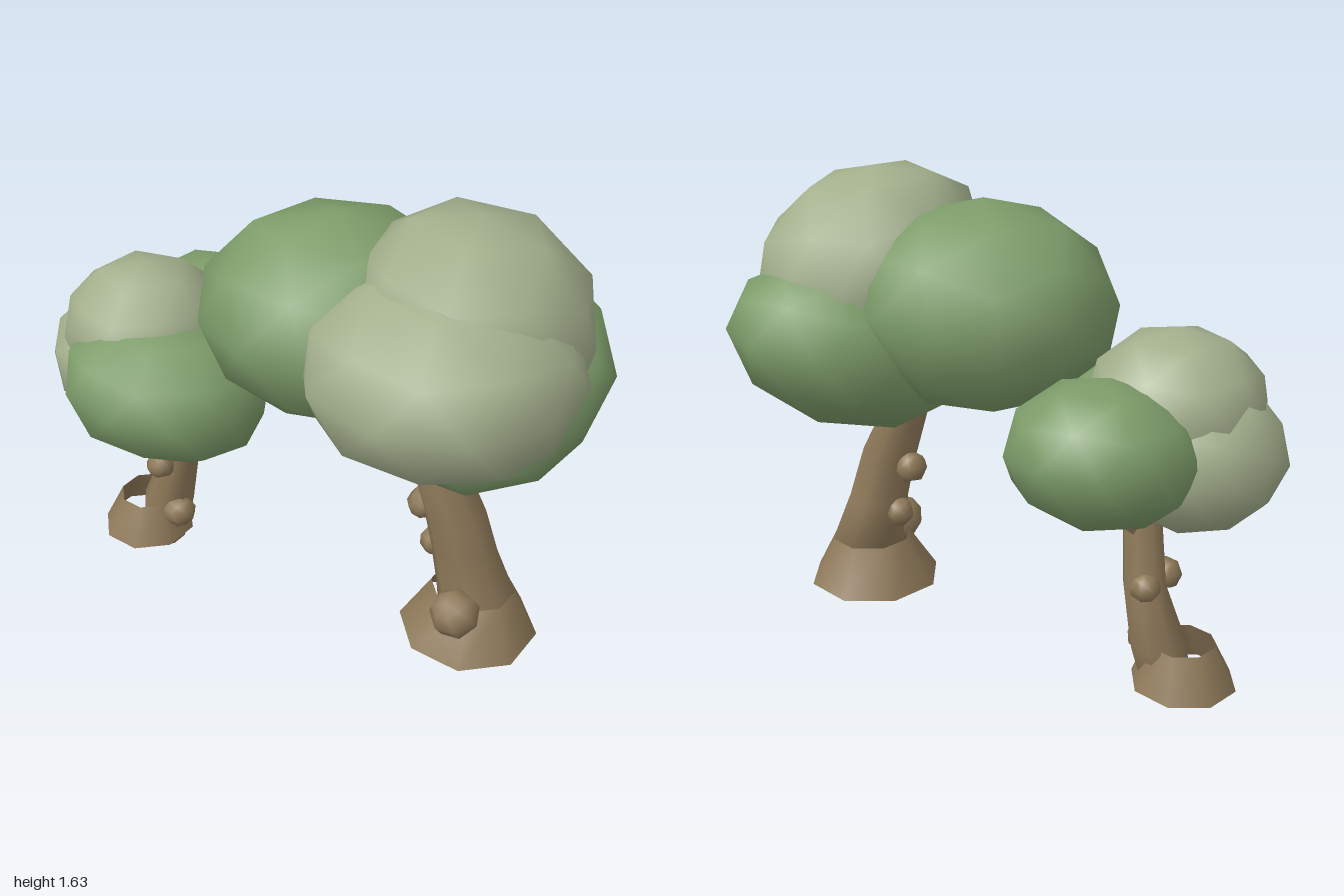
import * as THREE from 'three';
import { mergeVertices } from 'three/addons/utils/BufferGeometryUtils.js';

const mat = (name, color, side = THREE.FrontSide) => {
  const m = new THREE.MeshStandardMaterial({ color, side });
  m.name = name;
  return m;
};

// Weld seams so that shading runs smoothly all the way round
function smooth(geo) {
  geo.deleteAttribute('uv');
  geo.deleteAttribute('normal');
  const welded = mergeVertices(geo, 1e-4);
  welded.computeVertexNormals();
  return welded;
}

export function createModel() {
  const bark = mat('bark brown', 0x8e7959, THREE.DoubleSide);
  const dark = mat('leaf green', 0x7d9c69);
  const light = mat('pale leaf green', 0xa3af8c);

  // Low-poly clump filling x, y and z ranges; lean tilts it along x and z,
  // power above 2 makes it boxier, pitch tips its pole from y towards z
  function clump(parent, name, material, ranges, { lean = [0, 0], power = 2, turn = 0, pitch = 0 }) {
    const geo = new THREE.IcosahedronGeometry(1, 1);
    geo.rotateZ(0.5536).rotateY(turn).rotateX(pitch);
    const p = geo.attributes.position;
    const v = new THREE.Vector3();
    for (let i = 0; i < p.count; i++) {
      v.fromBufferAttribute(p, i);
      const sum = Math.abs(v.x) ** power + Math.abs(v.y) ** power + Math.abs(v.z) ** power;
      v.multiplyScalar(sum ** (-1 / power));
      p.setXYZ(i, v.x, v.y + lean[0] * v.x + lean[1] * v.z, v.z);
    }
    geo.center();
    geo.boundingBox.getSize(v);
    const [sx, sy, sz] = ranges.map(([a, b]) => b - a);
    geo.scale(sx / v.x, sy / v.y, sz / v.z);
    const mesh = new THREE.Mesh(smooth(geo), material);
    mesh.name = name;
    mesh.position.set(...ranges.map(([a, b]) => (a + b) / 2));
    parent.add(mesh);
  }

  // Bent limb: cylinder rows moved to rings [x, y, z, radius], bottom to top
  function limb(parent, name, rings, sides = 8, open = false) {
    const last = rings.length - 1;
    const geo = new THREE.CylinderGeometry(1, 1, 1, sides, last, open);
    const p = geo.attributes.position;
    for (let i = 0; i < p.count; i++) {
      const [x, y, z, r] = rings[Math.round((p.getY(i) + 0.5) * last)];
      p.setXYZ(i, x + p.getX(i) * r, y, z + p.getZ(i) * r);
    }
    const mesh = new THREE.Mesh(smooth(geo), bark);
    mesh.name = name;
    parent.add(mesh);
  }

  // Small bark knots [x, y, z, radius]
  function knots(parent, list) {
    list.forEach(([x, y, z, r], i) => {
      const mesh = new THREE.Mesh(new THREE.SphereGeometry(r, 7, 5), bark);
      mesh.name = 'knot' + (i + 1);
      mesh.position.set(x, y, z);
      mesh.rotation.set(0.5 + i, i * 0.8, 0.4);
      parent.add(mesh);
    });
  }

  // Large tree
  const big = new THREE.Group();
  big.name = 'largeTree';
  limb(big, 'trunk', [
    [0.63, 0.025, 0.155, 0.115], [0.62, 0.22, 0.1, 0.14], [0.565, 0.39, 0.085, 0.118],
    [0.525, 0.57, 0.11, 0.11], [0.43, 0.78, 0.08, 0.087], [0.4, 0.95, 0.06, 0.07],
  ]);
  limb(big, 'rootFlare', [[0.605, 0.045, 0.11, 0.25], [0.61, 0.22, 0.1, 0.148]], 8, true);
  knots(big, [[0.57, 0.225, 0.265, 0.09], [0.415, 0.54, 0.07, 0.06], [0.46, 0.36, 0.05, 0.055]]);
  clump(big, 'innerLeaves', dark, [[-0.37, 0.53], [0.85, 1.58], [-0.41, 0.39]],
    { pitch: Math.PI / 2 });
  clump(big, 'frontLeaves', light, [[0.02, 0.92], [0.88, 1.535], [-0.16, 0.66]],
    { power: 2.1, turn: 0.3 });
  clump(big, 'topLeaves', light, [[0.16, 0.92], [0.92, 1.645], [-0.33, 0.46]],
    { power: 2.5, lean: [-0.1, 0.1], turn: 0.2 });
  clump(big, 'outerLeaves', dark, [[0.17, 1.0], [0.73, 1.345], [-0.48, 0.41]],
    { lean: [0.15, -0.22], turn: 0.3 });

  // Small tree
  const small = new THREE.Group();
  small.name = 'smallTree';
  limb(small, 'trunk', [
    [-0.65, 0.01, -0.165, 0.085], [-0.63, 0.18, -0.2, 0.1], [-0.57, 0.38, -0.185, 0.074],
    [-0.545, 0.6, -0.15, 0.067], [-0.54, 0.75, -0.15, 0.055],
  ]);
  limb(small, 'rootFlare', [[-0.715, 0.045, -0.18, 0.18], [-0.705, 0.195, -0.185, 0.113]], 8, true);
  limb(small, 'branchInner', [[-0.54, 0.54, -0.17, 0.035], [-0.51, 0.7, -0.25, 0.035]], 6);
  limb(small, 'branchOuter', [[-0.55, 0.53, -0.15, 0.035], [-0.6, 0.7, -0.11, 0.035]], 6);
  knots(small, [[-0.57, 0.16, -0.135, 0.066], [-0.62, 0.395, -0.11, 0.056], [-0.585, 0.39, -0.23, 0.053]]);
  clump(small, 'topLeaves', light, [[-0.925, -0.34], [0.74, 1.25], [-0.41, 0.155]],
    { power: 2.1, turn: 0.2 });
  clump(small, 'outerLeaves', light, [[-1.0, -0.4], [0.6, 1.12], [-0.43, 0.13]],
    { turn: 1.1, pitch: 0.5 });
  clump(small, 'frontLeaves', dark, [[-0.87, -0.16], [0.62, 1.11], [-0.27, 0.32]],
    { power: 2.4, lean: [-0.1, 0], turn: 0.3 });
  clump(small, 'backLeaves', dark, [[-0.79, -0.16], [0.655, 1.14], [-0.665, -0.08]],
    { lean: [0, -0.1], turn: 0.3 });

  const model = new THREE.Group();
  model.name = 'twinTrees';
  model.add(big, small);
  return model;
}
